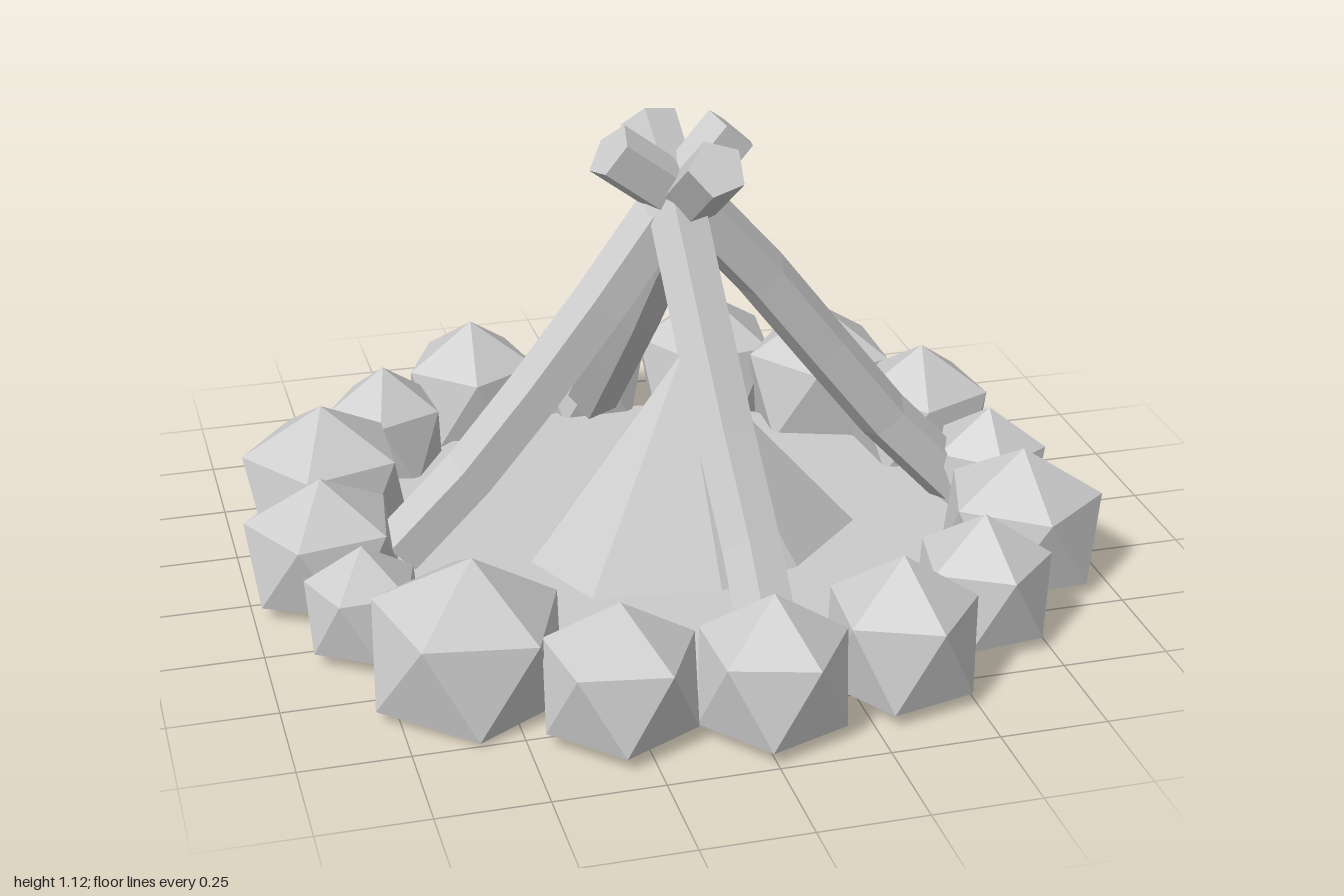
import * as THREE from 'three';

const material = new THREE.MeshStandardMaterial({ color: 0xcccccc, flatShading: true });

function add(parent, name, geometry) {
  const mesh = new THREE.Mesh(geometry, material);
  mesh.name = name;
  parent.add(mesh);
  return mesh;
}

// Upright icosahedron with its lower cap pressed flat
function stoneGeometry(radius, height, turn) {
  const g = new THREE.IcosahedronGeometry(1, 0);
  g.rotateX(-Math.atan((1 + Math.sqrt(5)) / 2));
  g.rotateY(turn);
  const p = g.attributes.position;
  const low = -0.4472;
  for (let i = 0; i < p.count; i++) p.setY(i, Math.max(p.getY(i), low) - low);
  g.scale(radius / 0.88, height / (1 - low), radius / 0.88);
  g.computeVertexNormals();
  return g;
}

// Five-sided log swept along a gently bent path
function logGeometry(points, radius) {
  const section = new THREE.Shape();
  for (let i = 0; i < 5; i++) {
    const a = (i * Math.PI * 2) / 5;
    const x = radius * Math.cos(a), y = radius * Math.sin(a);
    if (i === 0) section.moveTo(x, y);
    else section.lineTo(x, y);
  }
  section.closePath();
  const path = new THREE.CatmullRomCurve3(points.map((q) => new THREE.Vector3(...q)));
  return new THREE.ExtrudeGeometry(section, { steps: 5, bevelEnabled: false, extrudePath: path });
}

export function createModel() {
  const model = new THREE.Group();
  model.name = 'campfire';

  // Thin ground slab inside the ring
  const ground = add(model, 'ground', new THREE.CylinderGeometry(0.77, 0.77, 0.02, 14));
  ground.position.y = 0.045;

  // Ash mound: uneven many-sided cone
  const rim = [[-0.34, 0.05], [-0.25, -0.1], [-0.01, -0.4], [0.14, -0.36], [0.44, -0.1], [0.49, 0.04], [0.28, 0.24], [0.07, 0.31], [-0.24, 0.27]];
  const corners = [];
  rim.forEach(([x, z], i) => {
    const [nx, nz] = rim[(i + 1) % rim.length];
    corners.push(0.06, 0.53, -0.02, nx, 0.045, nz, x, 0.045, z);
  });
  const moundGeometry = new THREE.BufferGeometry();
  moundGeometry.setAttribute('position', new THREE.Float32BufferAttribute(corners, 3));
  moundGeometry.computeVertexNormals();
  add(model, 'ashMound', moundGeometry);

  // Ring of stones: x, z, radius, top height
  const stones = [
    [0.02, -0.84, 0.15, 0.31], [-0.305, -0.785, 0.168, 0.33], [-0.57, -0.6, 0.145, 0.31],
    [-0.765, -0.345, 0.195, 0.34], [-0.82, -0.01, 0.18, 0.31], [-0.77, 0.27, 0.132, 0.27],
    [-0.59, 0.535, 0.215, 0.355], [-0.29, 0.76, 0.172, 0.32], [0.035, 0.825, 0.168, 0.33],
    [0.355, 0.75, 0.17, 0.34], [0.62, 0.555, 0.155, 0.31], [0.81, 0.305, 0.188, 0.335],
    [0.85, -0.02, 0.14, 0.29], [0.785, -0.34, 0.17, 0.33], [0.595, -0.6, 0.187, 0.355],
    [0.335, -0.775, 0.18, 0.345], [-0.87, -0.15, 0.085, 0.12],
  ];
  const ring = new THREE.Group();
  ring.name = 'stoneRing';
  model.add(ring);
  stones.forEach(([x, z, r, top], i) => {
    // The largest stone sits deeper and leans a little
    const large = r > 0.2;
    const bottom = large ? 0.018 : 0.035;
    const stone = add(ring, 'stone' + (i + 1), stoneGeometry(r, top - bottom, i * 2.4));
    stone.position.set(x, bottom, z);
    if (large) stone.rotation.set(0.03, 0, -0.06);
  });

  // Four leaning logs crossing at the top
  const logs = {
    leftLog: [[0.76, 0.1, -0.03], [0.59, 0.28, -0.04], [0.34, 0.6, -0.035], [0.12, 0.87, -0.02], [-0.12, 1.06, 0]],
    rightLog: [[-0.64, 0.1, -0.01], [-0.46, 0.28, -0.01], [-0.17, 0.64, -0.01], [0, 0.87, -0.02], [0.18, 1.08, -0.025]],
    frontLog: [[0.07, 0.1, 0.72], [0.07, 0.28, 0.55], [0.05, 0.6, 0.27], [0.04, 0.86, 0.06], [0.015, 1.07, -0.16]],
    backLog: [[0.01, 0.1, -0.74], [0.02, 0.28, -0.57], [0.04, 0.58, -0.3], [0.06, 0.85, -0.08], [0.08, 1.07, 0.2]],
  };
  for (const [name, points] of Object.entries(logs)) add(model, name, logGeometry(points, 0.07));

  return model;
}
